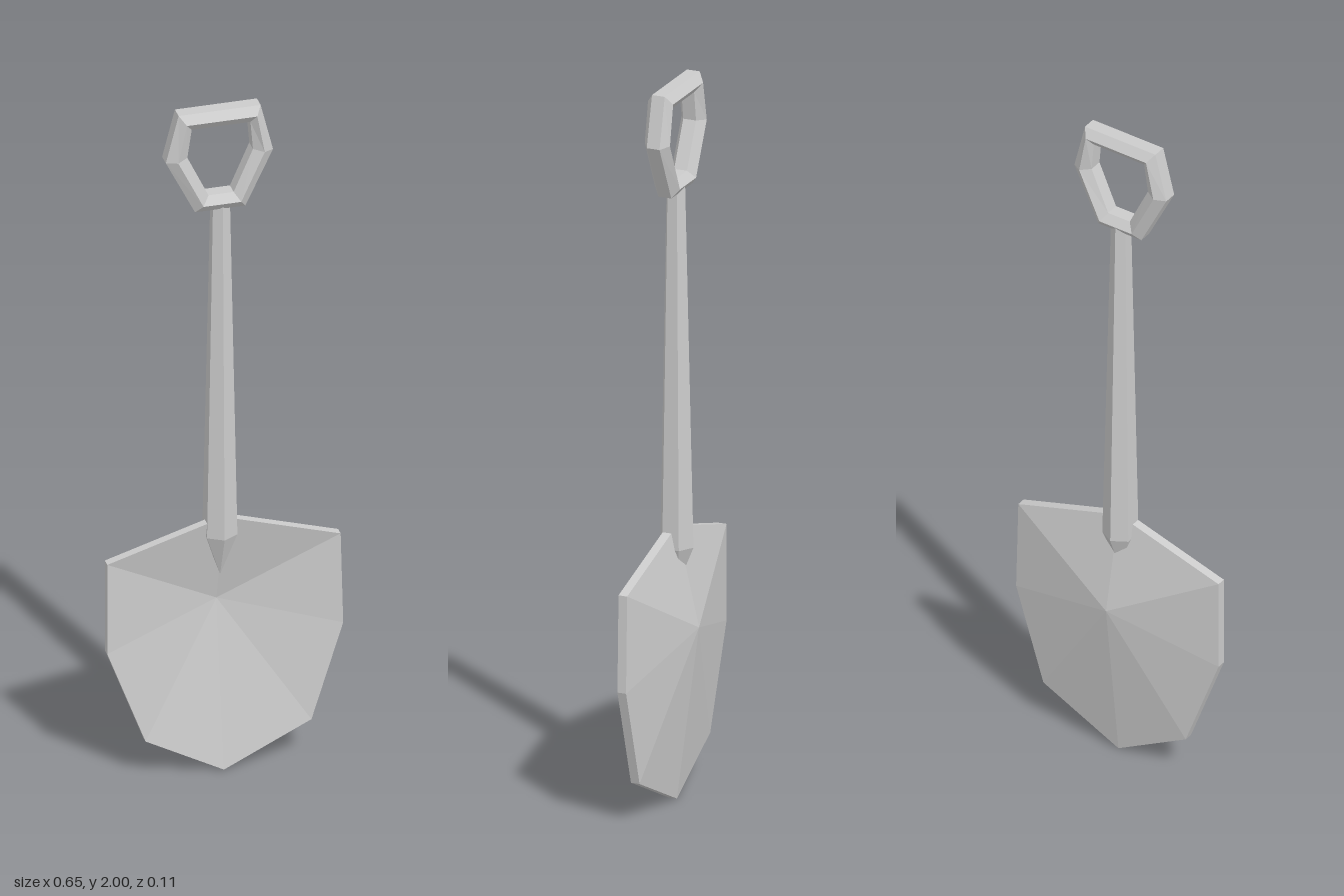
import * as THREE from 'three';

const material = new THREE.MeshStandardMaterial({ color: 0xcccccc, flatShading: true });

function facetedMesh(name, triangles) {
  const geometry = new THREE.BufferGeometry();
  geometry.setAttribute('position', new THREE.Float32BufferAttribute(triangles.flat(2), 3));
  geometry.computeVertexNormals();
  const mesh = new THREE.Mesh(geometry, material);
  mesh.name = name;
  return mesh;
}

// two triangles from four counter-clockwise corners
const quad = (a, b, c, d) => [[a, b, c], [a, c, d]];

// dished blade: front and back fans around a sunken middle, joined by a thin rim
function createBlade() {
  const outline = [
    [-0.005, 0.767], [-0.325, 0.67], [-0.325, 0.4], [-0.22, 0.12],
    [-0.005, 0.003], [0.235, 0.12], [0.322, 0.4], [0.315, 0.67],
  ];
  const frontMiddle = [-0.008, 0.49, -0.034];
  const backMiddle = [-0.008, 0.49, -0.058];
  const triangles = [];
  outline.forEach((p, i) => {
    const q = outline[(i + 1) % outline.length];
    const pf = [...p, 0.03], qf = [...q, 0.03];
    const pb = [...p, 0.005], qb = [...q, 0.005];
    triangles.push([frontMiddle, pf, qf], [backMiddle, qb, pb], ...quad(pf, pb, qb, qf));
  });
  return facetedMesh('blade', triangles);
}

// tapered six-sided shaft ending in a point on the blade
function createShaft() {
  const sections = [ // radius, y, z
    [0, 0.585, 0.01], [0.048, 0.71, 0.007], [0.027, 1.715, 0.01], [0, 1.715, 0.01],
  ];
  const rings = sections.map(([r, y, z]) => Array.from({ length: 6 }, (_, i) => {
    const a = i * Math.PI / 3;
    return [-0.01 + r * Math.sin(a), y, z + r * Math.cos(a)];
  }));
  const triangles = [];
  for (let s = 0; s < 3; s++) {
    for (let i = 0; i < 6; i++) {
      const j = (i + 1) % 6;
      const [a, b, c, d] = [rings[s][i], rings[s][j], rings[s + 1][j], rings[s + 1][i]];
      if (s === 0) triangles.push([a, c, d]);
      else if (s === 2) triangles.push([a, b, c]);
      else triangles.push(...quad(a, b, c, d));
    }
  }
  return facetedMesh('shaft', triangles);
}

// six-cornered ring grip with a six-sided bar
function createGrip() {
  const outer = [
    [0.095, 2], [-0.13, 2], [-0.165, 1.862],
    [-0.085, 1.702], [0.053, 1.702], [0.129, 1.862],
  ];
  const inner = [
    [0.067, 1.953], [-0.094, 1.953], [-0.106, 1.87],
    [-0.048, 1.748], [0.021, 1.748], [0.074, 1.87],
  ];
  // share of the way from outer to inner outline, and z
  const profile = [
    [0, 0.032], [0.5, 0.05], [1, 0.032], [1, -0.005], [0.5, -0.023], [0, -0.005],
  ];
  const bars = outer.map(([x, y], i) => profile.map(([t, z]) => [
    THREE.MathUtils.lerp(x, inner[i][0], t), THREE.MathUtils.lerp(y, inner[i][1], t), z,
  ]));
  const triangles = [];
  bars.forEach((ring, i) => {
    const next = bars[(i + 1) % bars.length];
    ring.forEach((p, k) => {
      const m = (k + 1) % ring.length;
      triangles.push(...quad(p, next[k], next[m], ring[m]));
    });
  });
  return facetedMesh('grip', triangles);
}

export function createModel() {
  const shovel = new THREE.Group();
  shovel.name = 'shovel';
  shovel.add(createBlade(), createShaft(), createGrip());
  return shovel;
}
